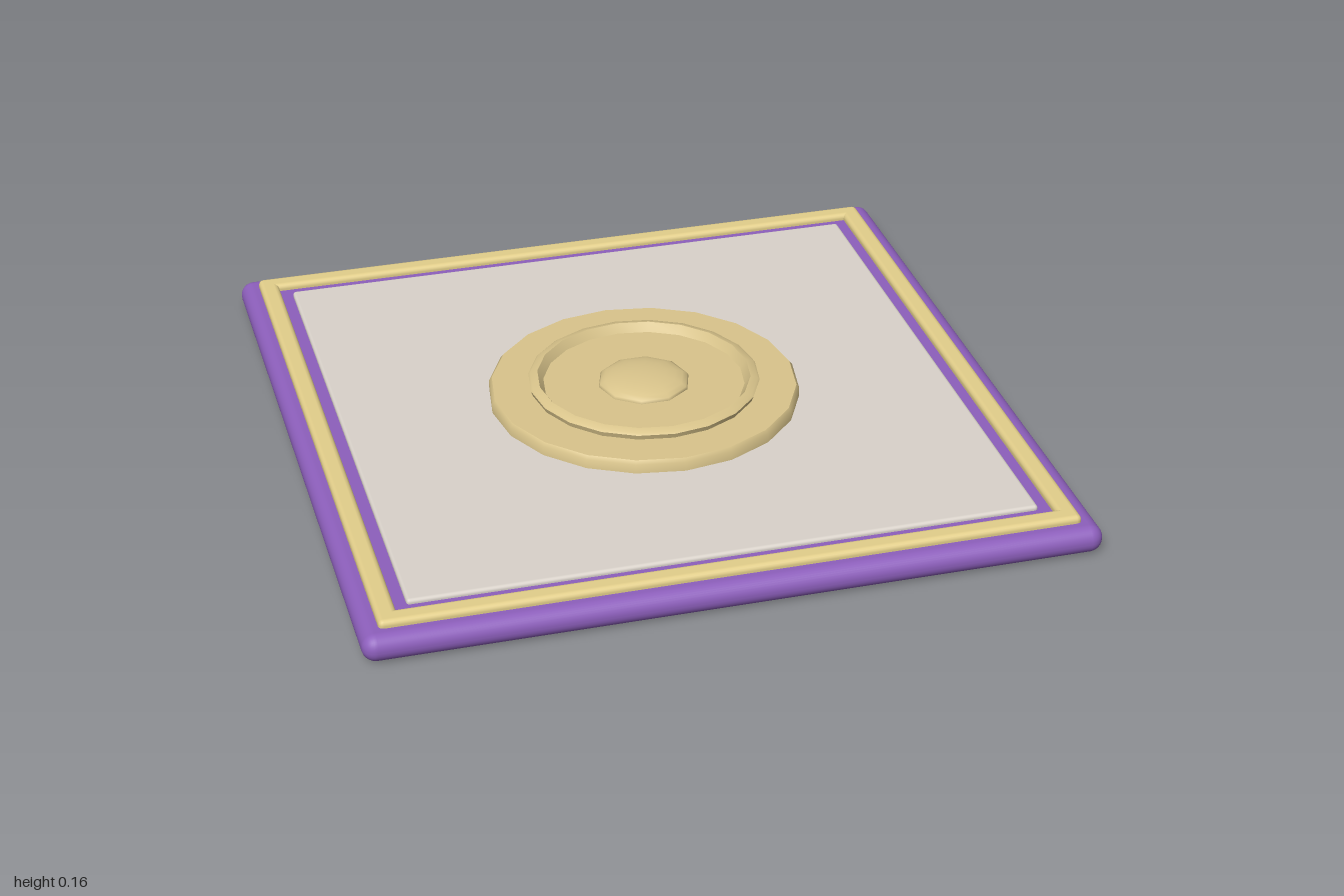
import * as THREE from 'three';
import { RoundedBoxGeometry } from 'three/addons/geometries/RoundedBoxGeometry.js';
import { toCreasedNormals } from 'three/addons/utils/BufferGeometryUtils.js';

export function createModel() {
  const group = new THREE.Group();
  const material = (name, color) => {
    const m = new THREE.MeshStandardMaterial({ color });
    m.name = name;
    return m;
  };
  const purple = material('purple', 0x8d5fbc);
  const underside = material('dusky purple', 0x685776);
  const paleGold = material('pale gold', 0xe2ce8a);
  const gold = material('gold', 0xd9c48b);
  const stone = material('stone grey', 0xd9d2ca);

  const add = (name, geometry, mat, x = 0, y = 0, z = 0) => {
    const mesh = new THREE.Mesh(geometry, mat);
    mesh.name = name;
    mesh.position.set(x, y, z);
    group.add(mesh);
  };
  // Faceted turned part from [radius, height] pairs, listed bottom to top
  const turned = (points, sides) => {
    const g = new THREE.LatheGeometry(points.map(([r, y]) => new THREE.Vector2(r, y)), sides);
    return toCreasedNormals(g, 0.85);
  };

  // Slab with fully rounded rim, and a thin plate beneath it
  add('base', new RoundedBoxGeometry(2, 0.078, 2, 4, 0.038), purple, 0, 0.041, 0);
  add('undersidePlate', new THREE.BoxGeometry(1.94, 0.004, 1.94), underside, 0, 0.002, 0);

  // Raised square panel
  add('panel', new RoundedBoxGeometry(1.72, 0.04, 1.72, 2, 0.01), stone, 0, 0.073, 0);

  // Four border strips around the panel
  for (const s of [-1, 1]) {
    add('borderStripX', new RoundedBoxGeometry(1.9, 0.04, 0.056, 2, 0.015), paleGold, 0, 0.08, s * 0.922);
    add('borderStripZ', new RoundedBoxGeometry(0.056, 0.04, 1.9, 2, 0.015), paleGold, s * 0.922, 0.08, 0);
  }

  // Central medallion: disc, raised ring and boss
  add('medallionDisc', turned([[0.44, 0.08], [0.44, 0.12], [0.432, 0.13], [0, 0.13]], 20), gold);
  add('medallionRing', turned([[0.322, 0.128], [0.328, 0.145], [0.322, 0.15], [0.302, 0.155], [0.284, 0.128]], 20), gold);
  const dome = new THREE.SphereGeometry(0.132, 10, 6, 0, Math.PI * 2, 0, Math.PI / 2);
  dome.scale(1, 0.25, 1);
  add('medallionBoss', dome, gold, 0, 0.129, 0);

  return group;
}
